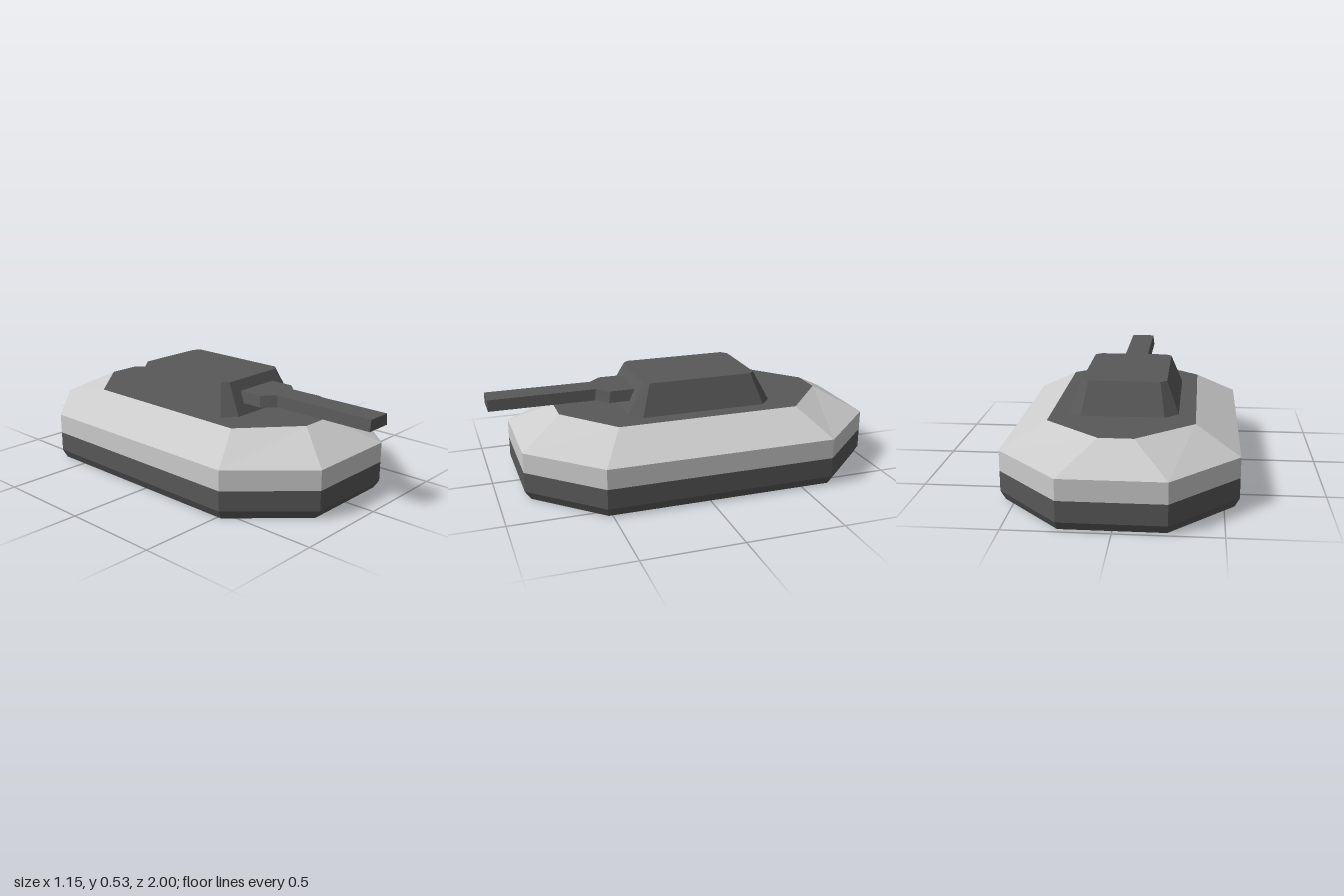
import * as THREE from 'three';

const light = new THREE.MeshStandardMaterial({ color: 0xcccccc, flatShading: true });
const dark = new THREE.MeshStandardMaterial({ color: 0x585858, flatShading: true });

// Rectangle with cut corners: half width hx, z range, corner cuts dx and dz
function octagon(hx, zBack, zFront, dx, dz) {
  const x = hx - dx;
  return [
    [hx, zBack + dz], [hx, zFront - dz], [x, zFront], [-x, zFront],
    [-hx, zFront - dz], [-hx, zBack + dz], [-x, zBack], [x, zBack],
  ];
}

// Gun outline seen from above: wide mount, shoulders, narrow barrel
function gunOutline(mount, barrel, zShoulder) {
  const right = [[mount, 0.18], [mount, zShoulder], [barrel, zShoulder + 0.06], [barrel, 1]];
  return [...right, ...right.map(([x, z]) => [-x, z]).reverse()];
}

// Joins stacked outlines [y, points] with flat faces and optional end caps
function loft(name, material, levels, { bottom = false, top = false } = {}) {
  const pos = [];
  const put = ([x, z], y) => pos.push(x, y, z);
  for (let k = 0; k < levels.length - 1; k++) {
    const [y0, lo] = levels[k], [y1, hi] = levels[k + 1];
    lo.forEach((a, i) => {
      const j = (i + 1) % lo.length;
      put(a, y0); put(hi[i], y1); put(lo[j], y0);
      put(lo[j], y0); put(hi[i], y1); put(hi[j], y1);
    });
  }
  const cap = ([y, pts], up) => {
    const contour = pts.map(([x, z]) => new THREE.Vector2(x, z));
    for (const [a, b, c] of THREE.ShapeUtils.triangulateShape(contour, [])) {
      for (const i of up ? [a, c, b] : [a, b, c]) put(pts[i], y);
    }
  };
  if (bottom) cap(levels[0], false);
  if (top) cap(levels[levels.length - 1], true);
  const geometry = new THREE.BufferGeometry();
  geometry.setAttribute('position', new THREE.Float32BufferAttribute(pos, 3));
  geometry.computeVertexNormals();
  const mesh = new THREE.Mesh(geometry, material);
  mesh.name = name;
  return mesh;
}

export function createModel() {
  const group = new THREE.Group();
  group.name = 'tank';

  const base = octagon(0.55, -0.97, 0.84, 0.305, 0.32);
  const side = octagon(0.573, -1, 0.87, 0.324, 0.342);
  const deck = octagon(0.358, -0.785, 0.65, 0.275, 0.242);

  group.add(
    // Hull: dark skirt, light armour band with slopes, dark deck
    loft('lowerHull', dark, [[0, base], [0.045, side], [0.147, side]], { bottom: true }),
    loft('upperHull', light, [[0.147, side], [0.25, side], [0.37, deck]]),
    loft('deck', dark, [[0.37, deck]], { top: true }),
    // Turret with bevelled corners
    loft('turret', dark, [
      [0.37, octagon(0.273, -0.455, 0.32, 0.068, 0.06)],
      [0.527, octagon(0.212, -0.372, 0.235, 0.032, 0.028)],
    ], { top: true }),
    // Gun and its mount in one piece
    loft('gun', dark, [
      [0.42, gunOutline(0.136, 0.073, 0.4)],
      [0.477, gunOutline(0.125, 0.065, 0.39)],
    ], { bottom: true, top: true }),
  );
  return group;
}
